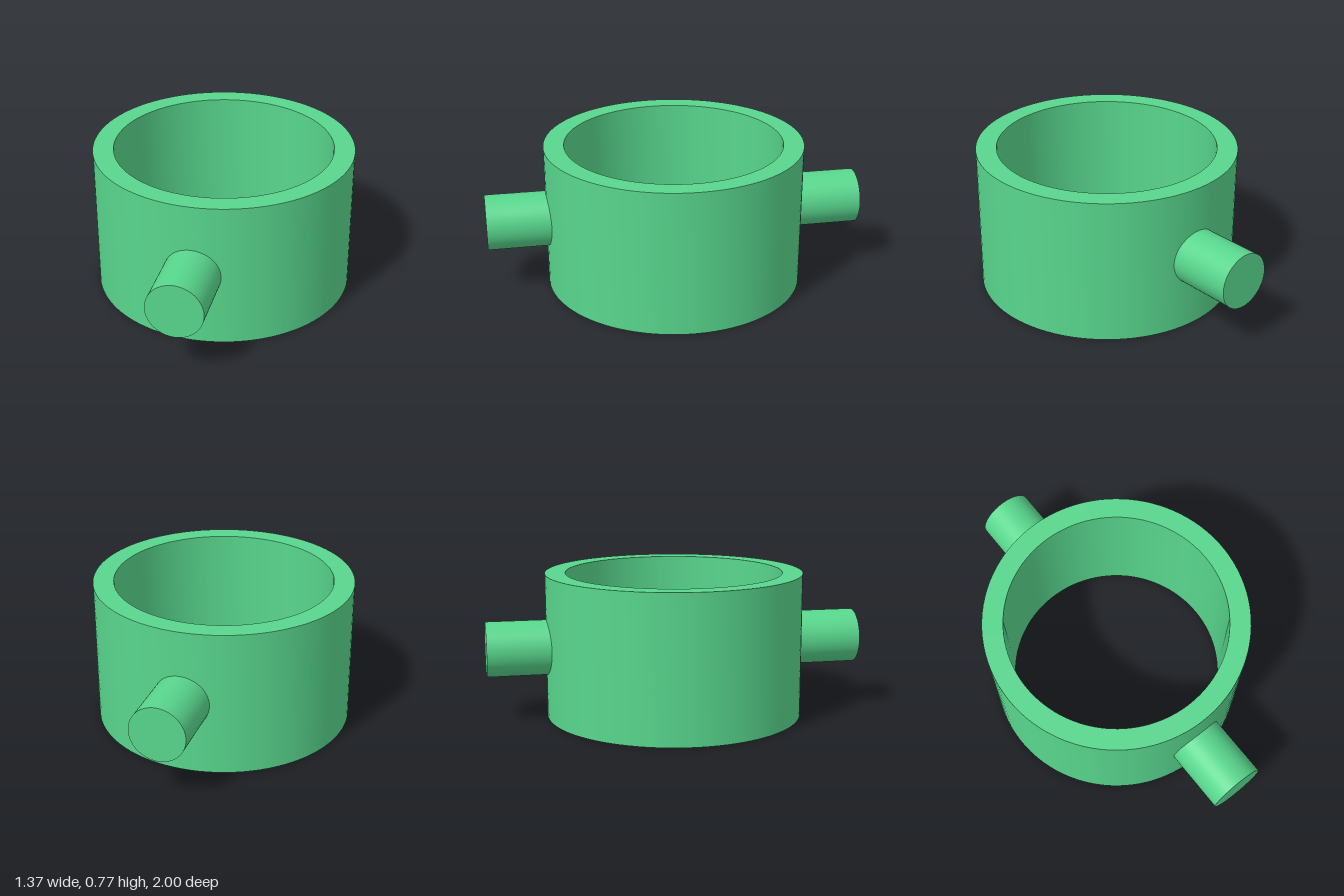
import * as THREE from 'three';
import { toCreasedNormals } from 'three/addons/utils/BufferGeometryUtils.js';

const HEIGHT = 0.767, OUTER = 0.683, INNER = 0.575;
const PIN_RADIUS = 0.145, PIN_START = 0.62, PIN_END = 1;

export function createModel() {
  const model = new THREE.Group();
  const material = new THREE.MeshStandardMaterial({ color: 0x58d68d });

  // Ring: a rectangular wall section turned about the y axis
  const section = [[INNER, 0], [OUTER, 0], [OUTER, HEIGHT], [INNER, HEIGHT], [INNER, 0]]
    .map(([r, y]) => new THREE.Vector2(r, y));
  const ring = new THREE.Mesh(
    toCreasedNormals(new THREE.LatheGeometry(section, 96), 0.6), material);
  ring.name = 'ring';
  model.add(ring);

  // Pivot pins: front and back, rooted inside the wall
  const length = PIN_END - PIN_START;
  const pinGeometry = new THREE.CylinderGeometry(PIN_RADIUS, PIN_RADIUS, length, 64);
  pinGeometry.rotateX(Math.PI / 2);
  for (const [name, side] of [['frontPin', 1], ['backPin', -1]]) {
    const pin = new THREE.Mesh(pinGeometry, material);
    pin.name = name;
    pin.position.set(0, HEIGHT / 2, side * (PIN_START + length / 2));
    model.add(pin);
  }

  return model;
}
